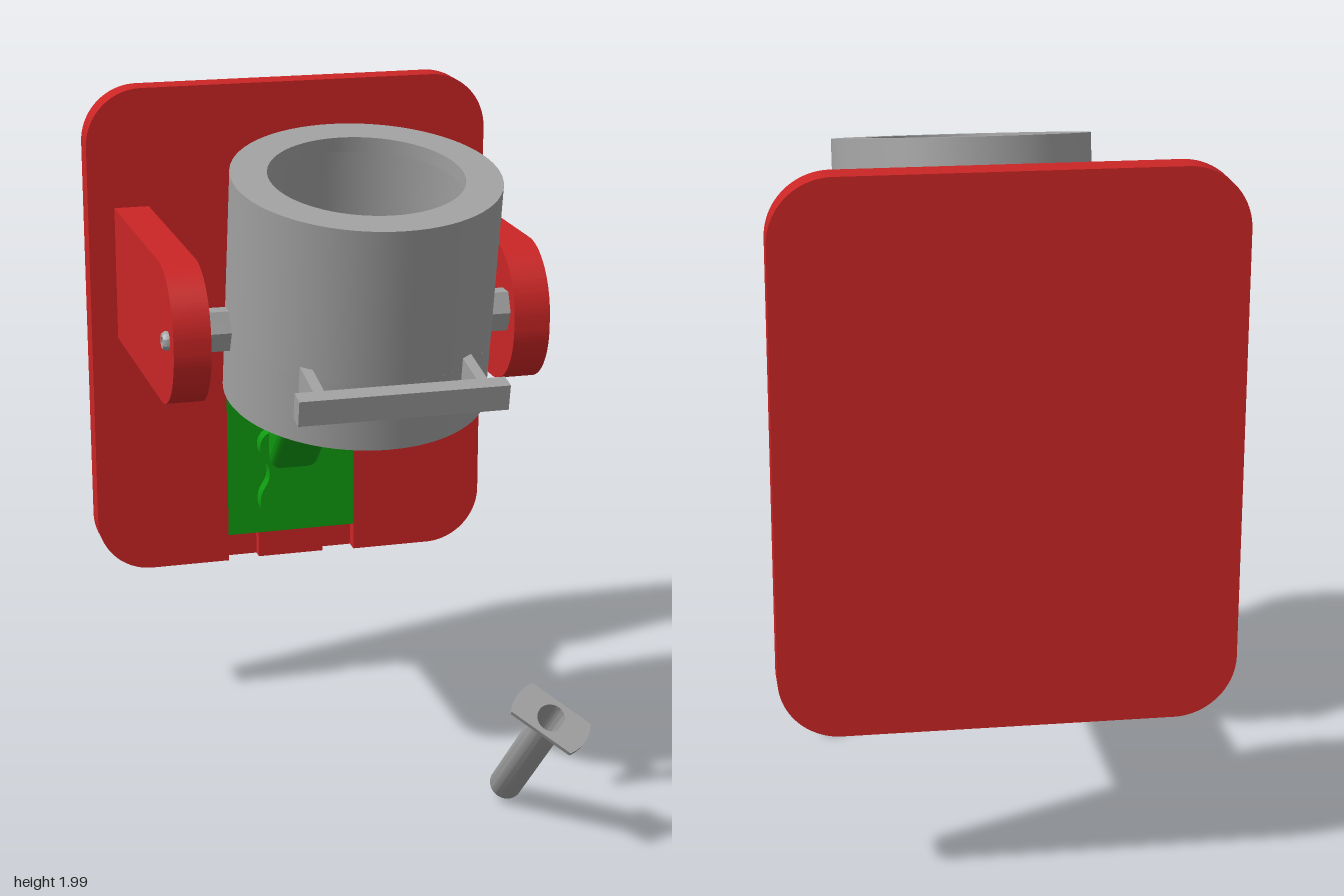
import * as THREE from 'three';
import { toCreasedNormals } from 'three/addons/utils/BufferGeometryUtils.js';

const mat = (name, color) => {
  const m = new THREE.MeshStandardMaterial({ color });
  m.name = name;
  return m;
};

export function createModel() {
  const red = mat('red', 0xcb2525);
  const green = mat('green', 0x0f9a10);
  const grey = mat('grey', 0xa2a2a2);
  const root = new THREE.Group();

  const add = (parent, name, geo, material, x = 0, y = 0, z = 0) => {
    const mesh = new THREE.Mesh(geo, material);
    mesh.name = name;
    mesh.position.set(x, y, z);
    parent.add(mesh);
    return mesh;
  };
  const group = (name, x, y, z, tilt) => {
    const g = new THREE.Group();
    g.name = name;
    g.position.set(x, y, z);
    g.rotation.x = tilt;
    root.add(g);
    return g;
  };
  const extrude = (shape, depth) => toCreasedNormals(
    new THREE.ExtrudeGeometry(shape, { depth, bevelEnabled: false, curveSegments: 24 }), 0.6);
  // extrusion that runs upward along y
  const extrudeUp = (shape, depth) => extrude(shape, depth).rotateX(-Math.PI / 2);
  const lathe = (pts) => toCreasedNormals(
    new THREE.LatheGeometry(pts.map(([x, y]) => new THREE.Vector2(x, y)), 72), 0.6);
  const hole = (shape, r) => {
    shape.holes.push(new THREE.Path().absarc(0, 0, r, 0, Math.PI * 2, true));
    return shape;
  };
  // rounded rectangle; a slot of half width s can be cut in from below up to height t
  const roundedRect = (w, h, r, s = 0, t = 0) => {
    const p = new THREE.Shape();
    if (s) p.moveTo(-s, -h).lineTo(-s, t).lineTo(s, t).lineTo(s, -h);
    else p.moveTo(0, -h);
    p.absarc(w - r, r - h, r, -Math.PI / 2, 0);
    p.absarc(w - r, h - r, r, 0, Math.PI / 2);
    p.absarc(r - w, h - r, r, Math.PI / 2, Math.PI);
    p.absarc(r - w, r - h, r, Math.PI, Math.PI * 1.5);
    p.closePath();
    return p;
  };

  // wall plate with a slot open at the bottom and a tongue inside it
  add(root, 'wallPlateBack', extrude(roundedRect(0.62, 0.76, 0.17), 0.04), red, 0, 1.24, -0.735);
  add(root, 'wallPlateFront', extrude(roundedRect(0.62, 0.76, 0.17, 0.205, -0.1), 0.045), red, 0, 1.24, -0.695);
  add(root, 'slotTongue', new THREE.BoxGeometry(0.21, 0.085, 0.035), red, 0, 0.5225, -0.6775);

  // arms, with nuts inside and screw heads outside
  const armShape = new THREE.Shape();
  armShape.moveTo(0.67, 0.202).lineTo(-0.025, 0.202);
  armShape.absarc(-0.025, 0.012, 0.19, Math.PI / 2, Math.PI);
  armShape.absarc(-0.025, -0.012, 0.19, Math.PI, Math.PI * 1.5);
  armShape.lineTo(0.67, -0.202).closePath();
  for (const side of [-1, 1]) {
    const label = side > 0 ? 'left' : 'right';
    const arm = add(root, label + 'Arm', extrude(armShape, 0.105), red, side * 0.4875 - 0.0525, 1.44, 0);
    arm.rotation.y = Math.PI / 2;
    const nut = new THREE.CylinderGeometry(0.065, 0.065, 0.085, 6).toNonIndexed();
    nut.computeVertexNormals();
    nut.rotateZ(Math.PI / 2).scale(1, 1, 0.75);
    add(root, label + 'Nut', nut, grey, side * 0.3975, 1.465, 0.132);
    const head = lathe([[0, -0.02], [0.027, -0.02], [0.027, 0.008], [0.021, 0.017], [0.012, 0.017], [0.012, 0.008], [0, 0.008]]);
    head.rotateZ(-side * Math.PI / 2);
    add(root, label + 'ScrewHead', head, grey, side * 0.54, 1.445, 0.138);
  }

  // tilted open cup with a narrow lip at the top
  const cup = group('cup', 0, 1.577, 0.163, 0.194);
  add(cup, 'cupWall', lathe([[0.33, -0.123], [0.372, -0.123], [0.372, 0.323], [0.27, 0.323],
    [0.27, 0.28], [0.33, 0.28], [0.33, -0.123]]), grey);
  // lower wall with a shallow flat notch at the back
  const a = Math.asin(0.08 / 0.372);
  const wall = new THREE.Shape();
  wall.absarc(0, 0, 0.372, Math.PI / 2 + a, Math.PI * 2.5 - a);
  wall.lineTo(0.08, 0.35).lineTo(-0.08, 0.35).closePath();
  const lower = new THREE.ExtrudeGeometry(hole(wall, 0.33), { depth: 0.2, bevelEnabled: false, curveSegments: 36 });
  add(cup, 'cupLowerWall', toCreasedNormals(lower.rotateX(-Math.PI / 2), 0.4), grey, 0, -0.323, 0);
  // front bar on two posts
  add(cup, 'frontBar', new THREE.BoxGeometry(0.58, 0.073, 0.052), grey, 0, -0.132, 0.454);
  for (const side of [-1, 1]) {
    add(cup, 'barPost', new THREE.BoxGeometry(0.03, 0.073, 0.16), grey, side * 0.225, -0.132, 0.355);
  }

  // sliding insert with waisted pad
  add(root, 'insertPlate', new THREE.BoxGeometry(0.41, 0.575, 0.045), green, 0, 0.8525, -0.6725);
  const pad = new THREE.Shape();
  pad.moveTo(0, 0.6);
  pad.bezierCurveTo(0.07, 0.6, 0.11, 0.63, 0.11, 0.68);
  pad.bezierCurveTo(0.11, 0.73, 0.08, 0.73, 0.08, 0.775);
  pad.bezierCurveTo(0.08, 0.82, 0.11, 0.82, 0.11, 0.86);
  pad.bezierCurveTo(0.11, 0.89, 0.09, 0.91, 0.07, 0.91);
  pad.lineTo(-0.07, 0.91);
  pad.bezierCurveTo(-0.09, 0.91, -0.11, 0.89, -0.11, 0.86);
  pad.bezierCurveTo(-0.11, 0.82, -0.08, 0.82, -0.08, 0.775);
  pad.bezierCurveTo(-0.08, 0.73, -0.11, 0.73, -0.11, 0.68);
  pad.bezierCurveTo(-0.11, 0.63, -0.07, 0.6, 0, 0.6);
  add(root, 'insertPad', extrude(pad, 0.05), green, 0, 0, -0.655);

  // angled socket with a blind bore
  const socket = group('socket', 0, 1.065, -0.45, Math.PI / 4);
  add(socket, 'socketTube', extrudeUp(hole(roundedRect(0.081, 0.085, 0.035), 0.054), 0.2), green, 0, -0.2, 0);
  add(socket, 'socketBase', extrudeUp(roundedRect(0.081, 0.085, 0.035), 0.105), green, 0, -0.305, 0);

  // loose pin: bored shaft, stepped tip and a turned head cut by two flats
  const pin = group('pin', 0.41, 0.425, 0.66, Math.PI / 4);
  add(pin, 'pinShaft', lathe([[0, -0.56], [0.024, -0.56], [0.024, -0.525], [0.04, -0.525], [0.048, -0.51],
    [0.048, 0], [0.04, 0], [0.04, -0.3], [0, -0.3]]), grey);
  const b = Math.asin(0.055 / 0.113);
  const headShape = new THREE.Shape();
  headShape.absarc(0, 0, 0.113, -b, b);
  headShape.absarc(0, 0, 0.113, Math.PI - b, Math.PI + b);
  headShape.closePath();
  const pinHead = extrude(hole(headShape, 0.04), 0.016).rotateZ(Math.PI * 0.75).rotateX(-Math.PI / 2);
  add(pin, 'pinHead', pinHead, grey);

  return root;
}
